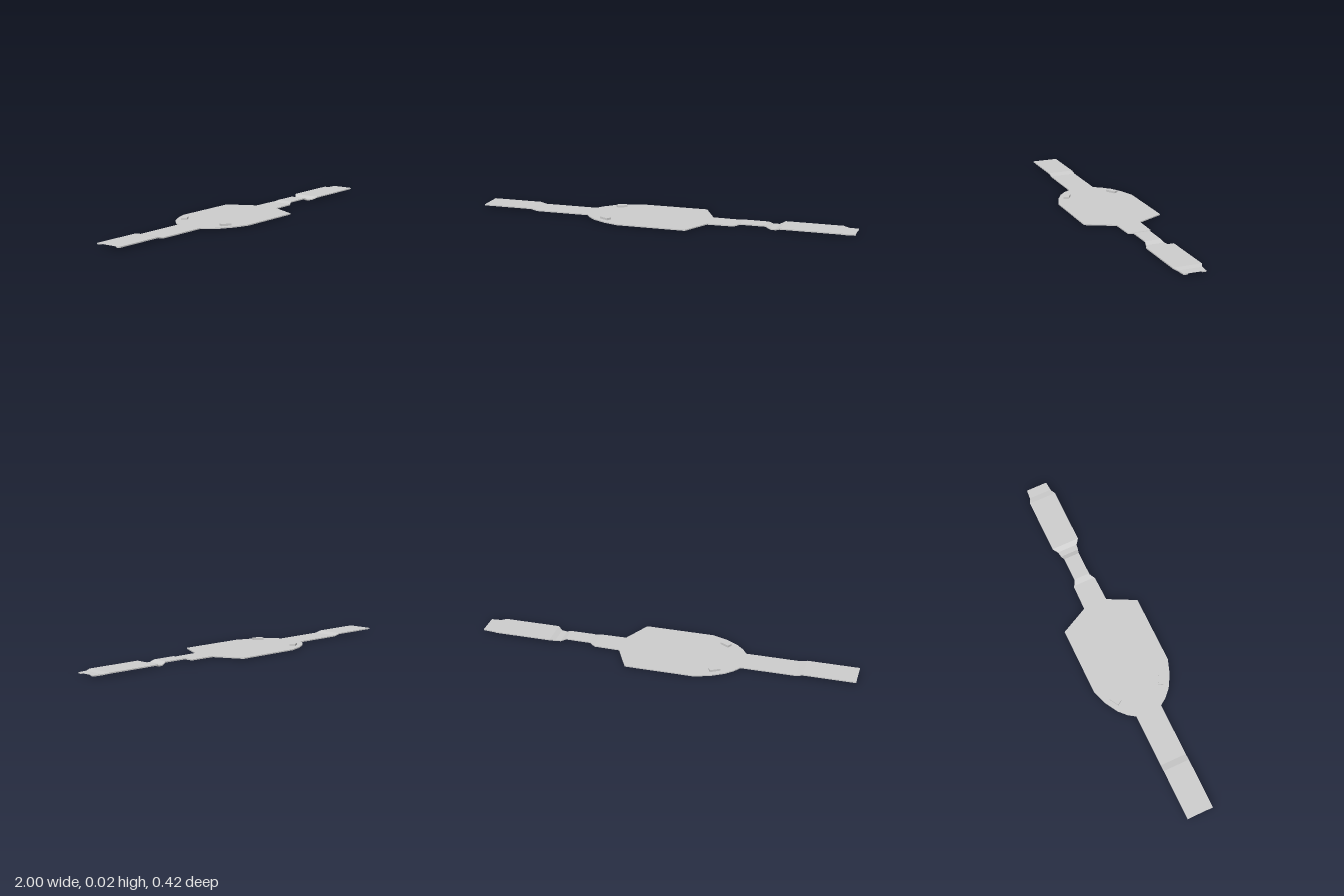
import * as THREE from 'three';

// Half-width of the outer edge, as [x, z]
const outer = [[-1, 0.07], [-0.41, 0.07], [-0.385, 0.107], [-0.345, 0.145], [-0.28, 0.183], [-0.2, 0.211],
  [0.165, 0.211], [0.24, 0.064], [0.375, 0.061], [0.405, 0.043], [0.54, 0.042], [0.57, 0.05], [0.595, 0.054],
  [0.62, 0.074], [0.92, 0.074], [0.945, 0.062], [1, 0.057]];
// Half-width of the recess between the rims, as [x, z]
const inner = [[-1, 0.048], [-0.395, 0.048], [-0.365, 0.09], [-0.33, 0.125], [-0.27, 0.162], [-0.2, 0.188],
  [0.15, 0.188], [0.22, 0.045], [0.37, 0.042], [0.405, 0.031], [0.54, 0.03], [0.59, 0.036],
  [0.62, 0.056], [0.82, 0.054], [0.84, 0.036], [0.87, 0.058], [0.94, 0.042], [1, 0.036]];
// Height of the upper surface, as [x, y]
const height = [[-1, 0.019], [-0.73, 0.019], [-0.695, 0.0105], [0.38, 0.0105], [0.41, 0.018], [0.54, 0.018],
  [0.565, 0.007], [0.595, 0.007], [0.62, 0.018], [0.92, 0.018], [0.95, 0.0135], [1, 0.0135]];

const RIM = 0.006;
const SHEET = 0.001;

function sample(table, x) {
  for (let i = 1; i < table.length; i++) {
    const [x0, v0] = table[i - 1];
    const [x1, v1] = table[i];
    if (x <= x1) return v0 + (v1 - v0) * (x - x0) / (x1 - x0);
  }
  return table[table.length - 1][1];
}

// Channel-shaped section: flat on top, a rim along both edges underneath
function section(x) {
  const w = sample(outer, x);
  const i = sample(inner, x);
  const top = sample(height, x);
  const low = top - RIM;
  const under = top - SHEET;
  return [[-w, low], [-w, top], [w, top], [w, low], [i, low], [i, under], [-i, under], [-i, low]]
    .map(([z, y]) => new THREE.Vector3(x, y, z));
}

function plateGeometry() {
  const xs = [...new Set([...outer, ...inner, ...height].map((p) => p[0]))].sort((a, b) => a - b);
  const rows = xs.map(section);
  const pos = [];
  const quad = (a, b, c, d) => [a, b, c, a, c, d].forEach((p) => pos.push(p.x, p.y, p.z));
  for (let r = 0; r < rows.length - 1; r++) {
    for (let k = 0; k < 8; k++) {
      const n = (k + 1) % 8;
      quad(rows[r][k], rows[r][n], rows[r + 1][n], rows[r + 1][k]);
    }
  }
  // End caps: the sheet and its two rims
  const cap = (s, flip) => {
    const lowZ = (p, y) => new THREE.Vector3(p.x, y, p.z);
    const u = s[5].y;
    const parts = [
      [lowZ(s[0], u), s[1], s[2], lowZ(s[3], u)],
      [s[0], lowZ(s[0], u), s[6], s[7]],
      [s[4], s[5], lowZ(s[3], u), s[3]],
    ];
    for (const p of parts) quad(...(flip ? p : p.reverse()));
  };
  cap(rows[0], false);
  cap(rows[rows.length - 1], true);
  const geo = new THREE.BufferGeometry();
  geo.setAttribute('position', new THREE.Float32BufferAttribute(pos, 3));
  geo.computeVertexNormals();
  return geo;
}

export function createModel() {
  const group = new THREE.Group();
  group.name = 'flatPlatform';
  const material = new THREE.MeshStandardMaterial({ color: 0xcccccc, flatShading: true, side: THREE.DoubleSide });

  const plate = new THREE.Mesh(plateGeometry(), material);
  plate.name = 'rimmedPlate';
  group.add(plate);

  // Two small blocks lined up with the curved shoulders
  for (const side of [-1, 1]) {
    const block = new THREE.Mesh(new THREE.BoxGeometry(0.055, 0.011, 0.029), material);
    block.name = side > 0 ? 'frontBlock' : 'backBlock';
    block.position.set(-0.287, 0.016, side * 0.131);
    block.rotation.y = -side * Math.PI / 6;
    group.add(block);
  }
  return group;
}
